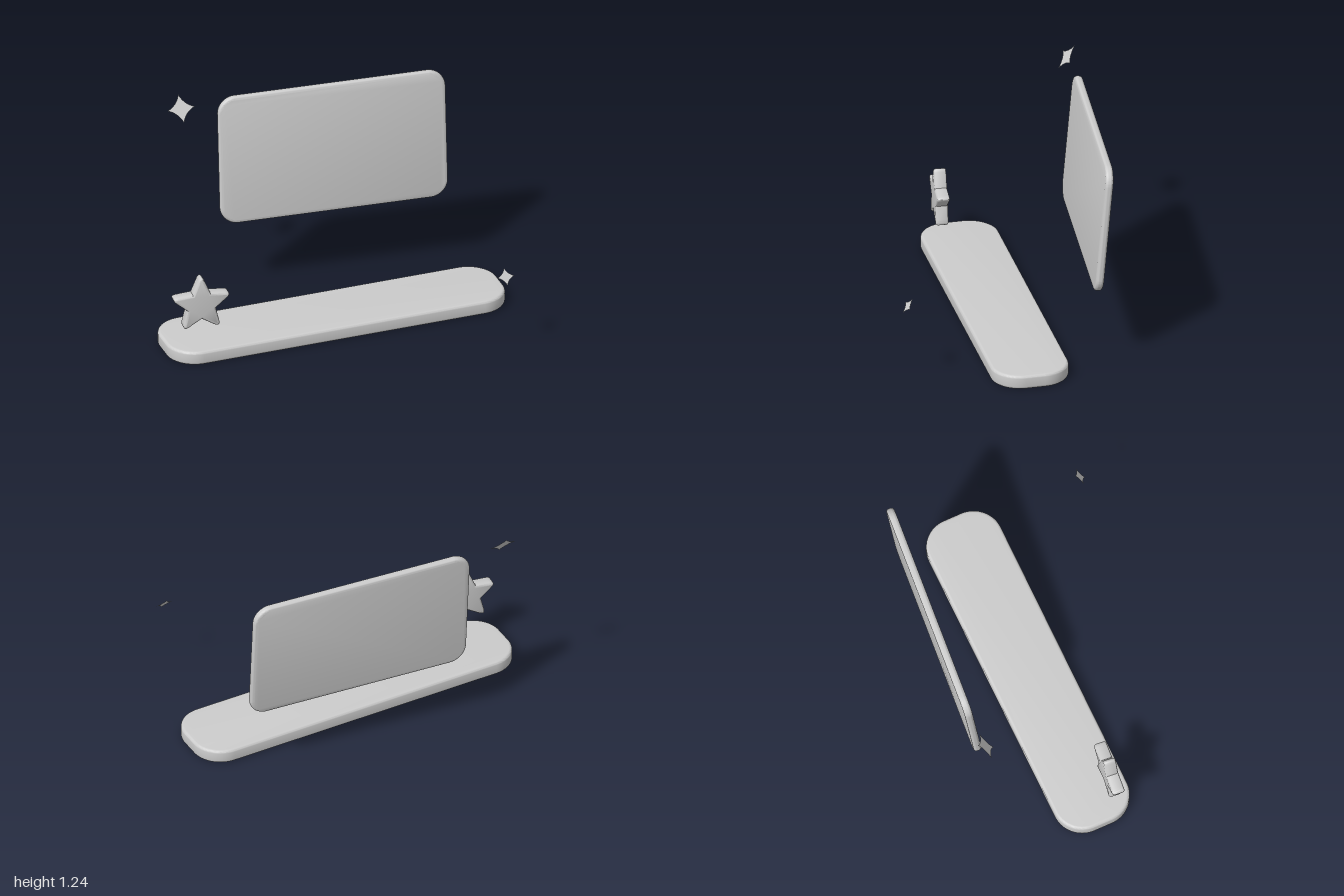
import * as THREE from 'three';
import { toCreasedNormals } from 'three/addons/utils/BufferGeometryUtils.js';

const rad = THREE.MathUtils.degToRad;

// Rounded rectangle outline centred on the origin
function roundedRect(w, h, r) {
  const x = w / 2 - r, y = h / 2 - r;
  const s = new THREE.Shape();
  s.absarc(x, y, r, 0, Math.PI / 2);
  s.absarc(-x, y, r, Math.PI / 2, Math.PI);
  s.absarc(-x, -y, r, Math.PI, Math.PI * 1.5);
  s.absarc(x, -y, r, Math.PI * 1.5, Math.PI * 2);
  s.closePath();
  return s;
}

// Five-pointed star with softened tips
function starShape(outer, inner, cut) {
  const at = (r, a) => new THREE.Vector2(-Math.sin(a) * r, Math.cos(a) * r);
  const s = new THREE.Shape();
  for (let i = 0; i < 5; i++) {
    const a = (i * Math.PI * 2) / 5;
    const tip = at(outer, a);
    const before = at(inner, a - Math.PI / 5), after = at(inner, a + Math.PI / 5);
    const p = tip.clone().lerp(before, cut), q = tip.clone().lerp(after, cut);
    if (i === 0) s.moveTo(p.x, p.y); else s.lineTo(p.x, p.y);
    s.quadraticCurveTo(tip.x, tip.y, q.x, q.y);
    s.lineTo(after.x, after.y);
  }
  s.closePath();
  return s;
}

// Four-pointed sparkle with concave sides
function sparkleShape(r) {
  const c = r * 0.27;
  const s = new THREE.Shape();
  s.moveTo(r, 0);
  s.quadraticCurveTo(c, c, 0, r);
  s.quadraticCurveTo(-c, c, -r, 0);
  s.quadraticCurveTo(-c, -c, 0, -r);
  s.quadraticCurveTo(c, -c, r, 0);
  return s;
}

// Plate of the given total depth, centred in z, with rounded edges
function softPlate(shape, depth, bevel) {
  const geo = new THREE.ExtrudeGeometry(shape, {
    depth: depth - 2 * bevel, curveSegments: 12, bevelEnabled: true,
    bevelSize: bevel, bevelThickness: bevel, bevelOffset: -bevel, bevelSegments: 4,
  });
  geo.translate(0, 0, -depth / 2 + bevel);
  return toCreasedNormals(geo, rad(40));
}

export function createModel() {
  const group = new THREE.Group();
  const grey = new THREE.MeshStandardMaterial({ color: 0xcccccc, side: THREE.DoubleSide });
  grey.name = 'light grey';

  const add = (name, geo, [x, y, z], yaw, pitch = 0) => {
    const mesh = new THREE.Mesh(geo, grey);
    mesh.name = name;
    mesh.position.set(x, y, z);
    mesh.rotation.set(rad(pitch), rad(yaw), 0, 'YXZ');
    group.add(mesh);
  };

  // Long base lying flat
  const base = softPlate(roundedRect(1.98, 0.437, 0.166), 0.08, 0.016);
  add('base', base, [-0.065, 0.04, 0.07], 45, -90);

  // Panel leaning back behind the base
  const panel = softPlate(roundedRect(1.3, 0.76, 0.1), 0.045, 0.018);
  add('panel', panel, [-0.275, 0.82, -0.405], 40, -5);

  // Star floating over one end of the base
  add('star', softPlate(starShape(0.19, 0.085, 0.4), 0.072, 0.014), [-0.557, 0.333, 0.728], 40);

  // Flat sparkles tilted up and to the corner
  add('largeSparkle', new THREE.ShapeGeometry(sparkleShape(0.08)), [-0.941, 1.175, 0.143], 45, -35.26);
  add('smallSparkle', new THREE.ShapeGeometry(sparkleShape(0.05)), [0.96, 0.48, 0], 45, -35.26);

  return group;
}
